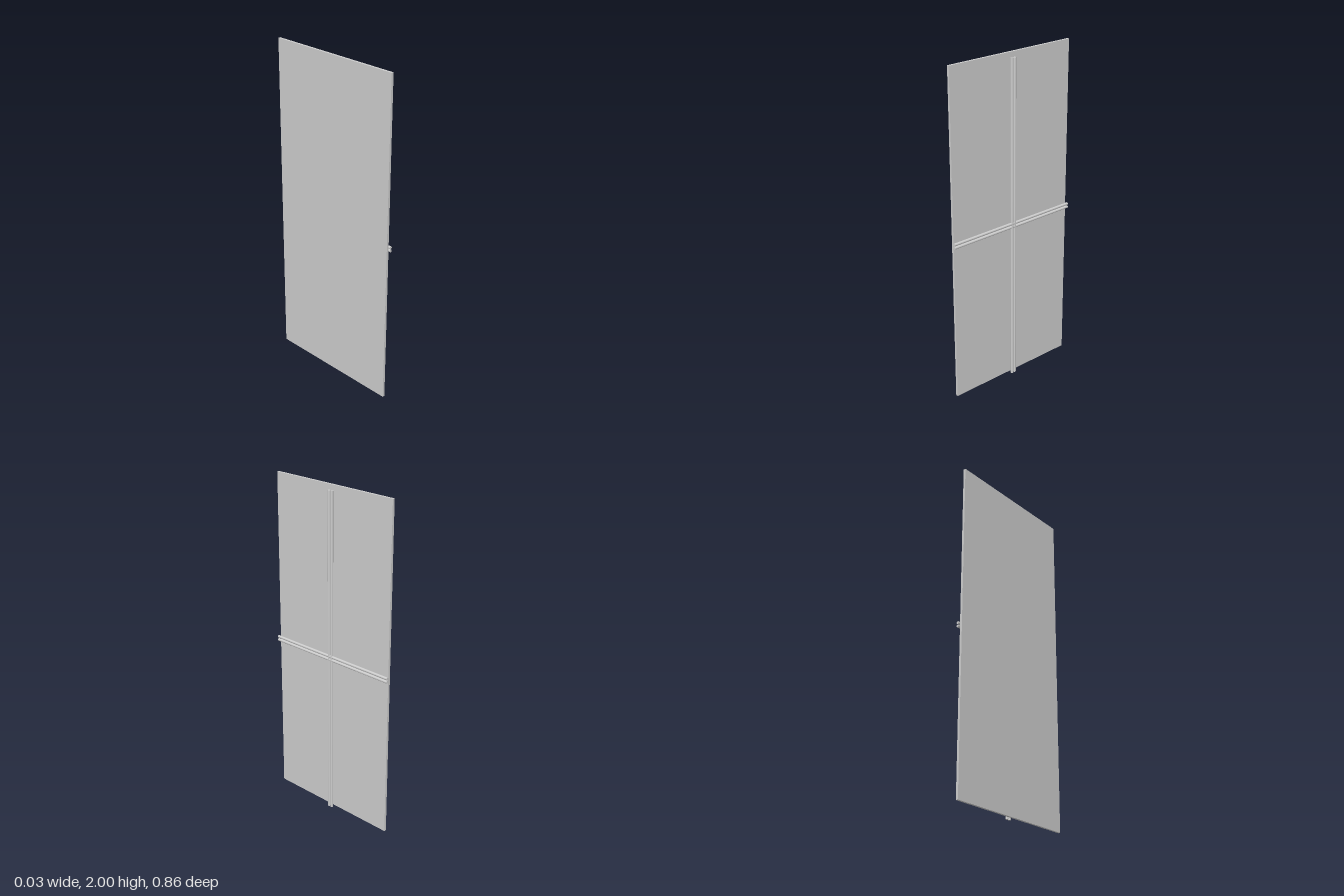
import * as THREE from 'three';

export function createModel() {
  const model = new THREE.Group();
  model.name = 'bracedPanel';
  const material = new THREE.MeshStandardMaterial({ color: 0xcccccc });

  // Thin upright board
  const panel = new THREE.Mesh(new THREE.BoxGeometry(0.014, 1.99, 0.853), material);
  panel.name = 'panel';
  panel.position.set(-0.011, 1.005, 0);
  model.add(panel);

  // Paired round rods crossing on the +x face
  const radius = 0.008;
  const addRod = (name, length, y, z, horizontal) => {
    const rod = new THREE.Mesh(new THREE.CylinderGeometry(radius, radius, length, 24), material);
    rod.name = name;
    rod.position.set(0.0085, y, z);
    if (horizontal) rod.rotation.x = Math.PI / 2;
    model.add(rod);
  };
  for (const side of [-1, 1]) {
    const offset = side * 0.01;
    addRod(side < 0 ? 'backVerticalRod' : 'frontVerticalRod', 1.97, 0.985, offset, false);
    addRod(side < 0 ? 'lowerCrossRod' : 'upperCrossRod', 0.863, 0.992 + offset, 0, true);
  }
  return model;
}
